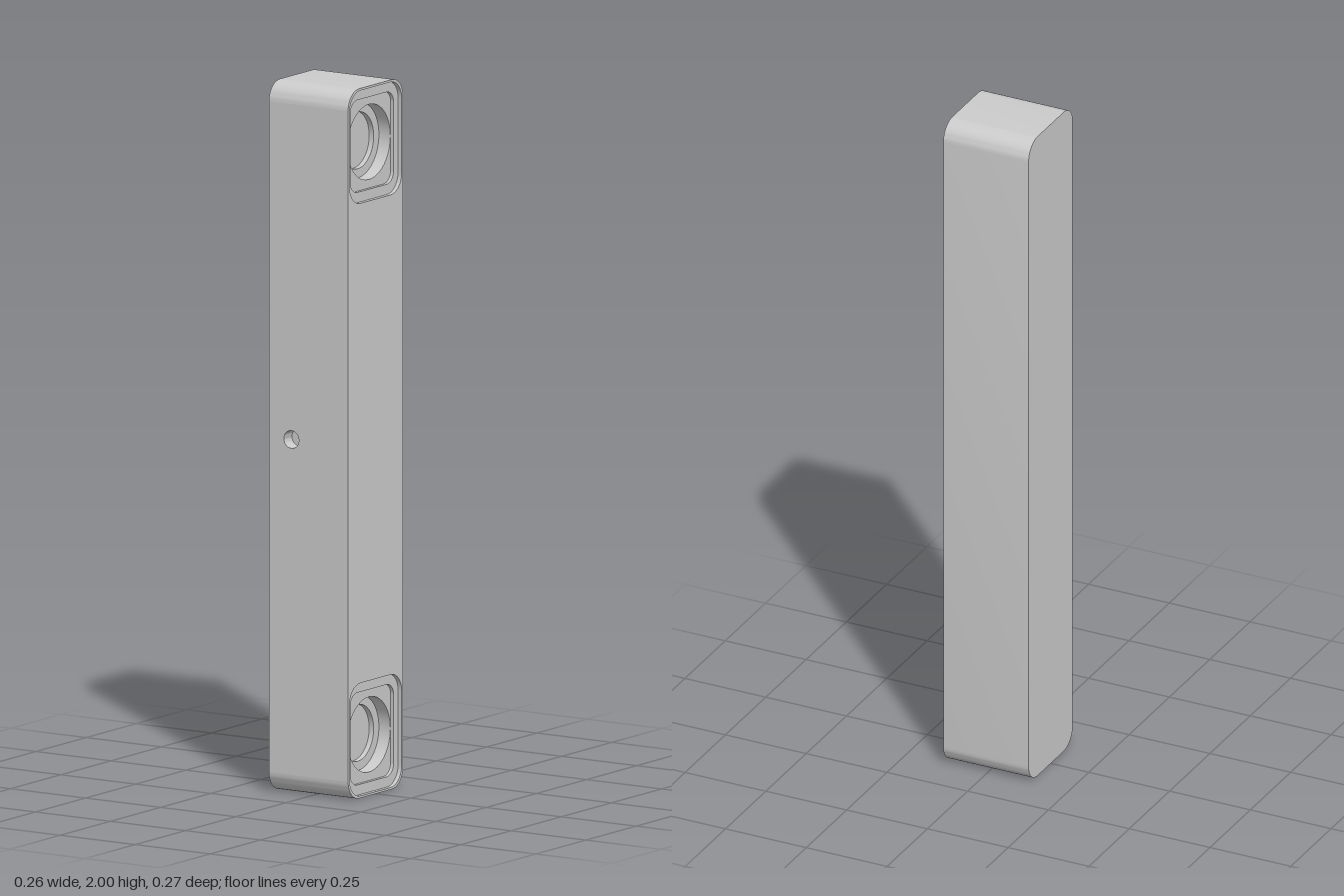
import * as THREE from 'three';
import { toCreasedNormals, mergeGeometries } from 'three/addons/utils/BufferGeometryUtils.js';

const HX = 0.132, HZ = 0.137, R = 0.055, H = 2;

// Rounded rectangle, counter-clockwise, starting at its lower left corner.
function roundRect(cy, hw, hh, r) {
  const pts = [];
  const corners = [[-1, -1], [1, -1], [1, 1], [-1, 1]];
  corners.forEach(([sx, sy], k) => {
    for (let i = 0; i <= 10; i++) {
      const a = Math.PI * (1 + k / 2 + i / 20);
      pts.push(new THREE.Vector2(sx * (hw - r) + r * Math.cos(a), cy + sy * (hh - r) + r * Math.sin(a)));
    }
  });
  return pts;
}

function circle(cx, cy, r, n = 48) {
  return Array.from({ length: n }, (_, i) => {
    const a = (i / n) * Math.PI * 2;
    return new THREE.Vector2(cx + r * Math.cos(a), cy + r * Math.sin(a));
  });
}

// Flat face at depth d, with optional holes.
function face(outline, d, holes = []) {
  const s = new THREE.Shape(outline);
  s.holes = holes.map((h) => new THREE.Path(h));
  const g = new THREE.ShapeGeometry(s).toNonIndexed();
  g.deleteAttribute('uv');
  return g.translate(0, 0, d);
}

// Wall along an outline: faces outward when d1 > d0, inward when d1 < d0.
function wall(pts, d0, d1, closed = true) {
  const pos = [];
  const count = closed ? pts.length : pts.length - 1;
  for (let i = 0; i < count; i++) {
    const p = pts[i], q = pts[(i + 1) % pts.length];
    pos.push(p.x, p.y, d0, q.x, q.y, d0, q.x, q.y, d1);
    pos.push(p.x, p.y, d0, q.x, q.y, d1, p.x, p.y, d1);
  }
  const g = new THREE.BufferGeometry();
  g.setAttribute('position', new THREE.Float32BufferAttribute(pos, 3));
  g.computeVertexNormals();
  return toCreasedNormals(g, 0.6);
}

export function createModel() {
  const group = new THREE.Group();
  const mat = new THREE.MeshStandardMaterial({ color: 0xcccccc });
  const add = (name, parts, sideways = true) => {
    const g = mergeGeometries(parts);
    if (sideways) g.rotateY(Math.PI / 2); // depth runs along x
    const m = new THREE.Mesh(g, mat);
    m.name = name;
    group.add(m);
  };

  const body = roundRect(H / 2, HZ, H / 2, R);
  const pocketCentres = [0.165, H - 0.165];
  const pocketRim = (cy) => roundRect(cy, 0.13, 0.159, 0.055);

  // Bar: skin left open at the front, where the front panel closes it
  add('bodySkin', [wall(body, -HX, HX, false)]);
  add('pocketSide', [face(body, HX, pocketCentres.map(pocketRim))]);
  add('plainSide', [face(body, HX).rotateY(Math.PI)]);

  // Front panel with its small round hole
  const hole = circle(-0.057, 1, 0.025, 32);
  const panel = [[-HX, R], [HX, R], [HX, H - R], [-HX, H - R]].map(([x, y]) => new THREE.Vector2(x, y));
  add('frontPanel', [face(panel, HZ, [hole])], false);
  add('frontHole', [wall(hole, HZ, HZ - 0.04), face(hole, HZ - 0.04)], false);

  // Stepped pockets: two rounded ledges, then a round well with a deeper seat
  pocketCentres.forEach((cy, k) => {
    const steps = [
      [pocketRim(cy), 0.012],
      [roundRect(cy, 0.108, 0.13, 0.035), 0.022],
      [circle(0, cy, 0.106), 0.06],
      [circle(0, cy, 0.08), 0.075],
    ];
    const parts = [];
    let top = HX;
    steps.forEach(([outline, depth], i) => {
      const floor = HX - depth;
      const next = steps[i + 1];
      parts.push(wall(outline, top, floor), face(outline, floor, next ? [next[0]] : []));
      top = floor;
    });
    add(k ? 'upperPocket' : 'lowerPocket', parts);
  });

  return group;
}
